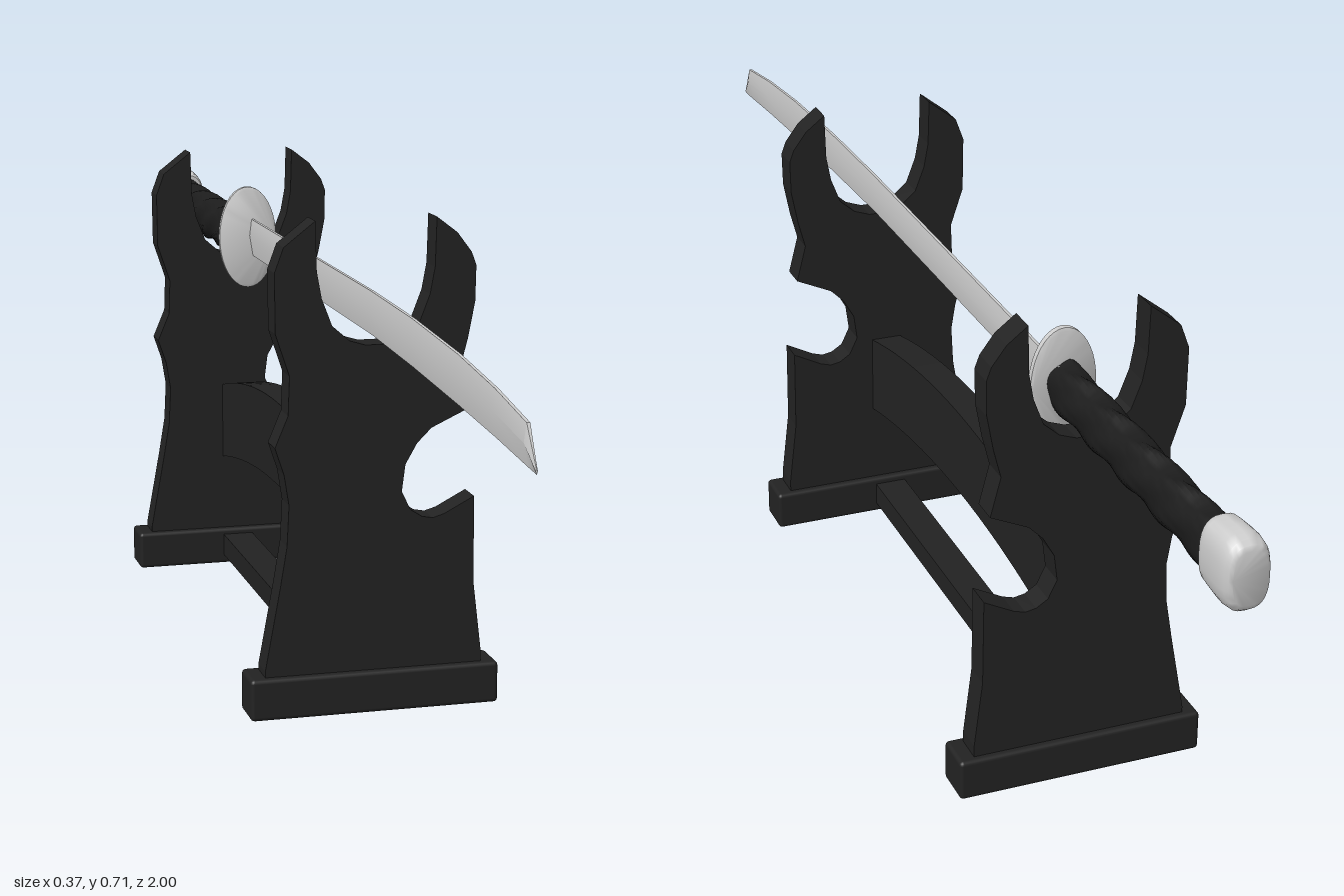
import * as THREE from 'three';
import { toCreasedNormals } from 'three/addons/utils/BufferGeometryUtils.js';
import { RoundedBoxGeometry } from 'three/addons/geometries/RoundedBoxGeometry.js';

// Skin a list of rings (each counter-clockwise seen from +z, ordered along +z) and cap both ends
function loft(rings, crease) {
  const n = rings[0].length, pos = rings.flat(2), idx = [];
  for (let i = 0; i < rings.length - 1; i++) {
    for (let j = 0; j < n; j++) {
      const a = i * n + j, b = i * n + (j + 1) % n;
      idx.push(a, b, b + n, a, b + n, a + n);
    }
  }
  const last = (rings.length - 1) * n;
  for (let j = 1; j < n - 1; j++) idx.push(0, j + 1, j, last, last + j, last + j + 1);
  const g = new THREE.BufferGeometry();
  g.setAttribute('position', new THREE.Float32BufferAttribute(pos, 3));
  g.setIndex(idx);
  g.computeVertexNormals();
  return toCreasedNormals(g, crease);
}

// Ring of points from a radius rule: rule(angle) gives [x, y]
function ring(n, z, rule) {
  return Array.from({ length: n }, (_, j) => [...rule(j / n * Math.PI * 2), z]);
}

export function createModel() {
  const model = new THREE.Group();
  const black = new THREE.MeshStandardMaterial({ color: 0x222222 });
  black.name = 'black wood';
  const wrap = new THREE.MeshStandardMaterial({ color: 0x1c1c1c });
  wrap.name = 'dark wrap';
  const steel = new THREE.MeshStandardMaterial({ color: 0xcccccc });
  steel.name = 'pale steel';

  const add = (name, geometry, material, x = 0, y = 0, z = 0) => {
    const m = new THREE.Mesh(geometry, material);
    m.name = name;
    m.position.set(x, y, z);
    model.add(m);
    return m;
  };

  // Upright outline: horned cradle on top, round bite on the +x side
  const outline = [
    [-.16, .055], [-.16, .07], [-.138, .19], [-.128, .25], [-.125, .31], [-.132, .354], [-.145, .393],
    [-.126, .438], [-.124, .494], [-.144, .554], [-.145, .639], [-.132, .674], [-.087, .709],
    [-.085, .639], [-.078, .601], [-.063, .562], [-.038, .54], [-.015, .533], [.015, .533],
    [.04, .542], [.063, .562], [.078, .601], [.085, .639], [.087, .709], [.117, .686], [.138, .658],
    [.145, .639], [.144, .588], [.134, .536], [.123, .494], [.138, .436], [.082, .41], [.061, .389],
    [.044, .359], [.039, .32], [.052, .293], [.069, .282], [.085, .279], [.102, .284], [.146, .307],
    [.147, .179], [.159, .078], [.159, .055],
  ].map(([x, y]) => new THREE.Vector2(x, y));
  const plate = new THREE.ExtrudeGeometry(new THREE.Shape(outline), { depth: 0.042, bevelEnabled: false });
  plate.translate(0, 0, -0.021);

  for (const [side, z] of [['front', 0.322], ['rear', -0.508]]) {
    add(side + 'Upright', plate, black, 0, 0, z);
    add(side + 'Foot', new RoundedBoxGeometry(0.366, 0.061, 0.064, 2, 0.006), black, 0, 0.0305, z);
  }

  // Arched beam between the uprights, drawn in (z, y) and turned to run along z
  const arch = new THREE.Shape();
  const steps = 20;
  const rise = t => 1 - (2 * t - 1) ** 2;
  for (let i = 0; i <= steps; i++) {
    const t = i / steps, z = -0.495 + 0.805 * t;
    if (i) arch.lineTo(z, 0.185 + 0.045 * rise(t));
    else arch.moveTo(z, 0.185);
  }
  for (let i = steps; i >= 0; i--) {
    const t = i / steps;
    arch.lineTo(-0.495 + 0.805 * t, 0.31 + 0.052 * rise(t));
  }
  const beam = new THREE.ExtrudeGeometry(arch, { depth: 0.048, bevelEnabled: false });
  beam.rotateY(-Math.PI / 2);
  add('archedBeam', beam, black, 0.013, 0, 0);

  // Low rail joining the feet
  add('lowRail', new THREE.BoxGeometry(0.05, 0.036, 0.8), black, -0.012, 0.033, -0.093);

  // Blade: thin spindle section, curving down to a slanted tip [z, lower edge, spine]
  const blade = [
    [-.45, .54, .601], [0, .539, .601], [.3, .538, .601], [.5, .531, .597], [.7, .521, .587],
    [.85, .512, .573], [.968, .503, .556], [1, .501, .508],
  ].map(([z, lo, hi], i, all) => {
    const w = i === all.length - 1 ? 0.0015 : 0.0055, mid = lo + (hi - lo) * 0.55;
    return [[0, lo], [w, mid], [w * 0.4, hi], [-w * 0.4, hi], [-w, mid]].map(([x, y]) => [x + 0.007, y, z]);
  });
  add('blade', loft(blade, 0.35), steel);

  // Oval guard with softened rim
  const guard = [[-.4465, .94], [-.4445, 1], [-.4355, 1], [-.4335, .94]].map(([z, s]) =>
    ring(40, z, a => [-0.001 + 0.048 * s * Math.cos(a), 0.571 + 0.084 * s * Math.sin(a)]));
  add('guard', loft(guard, 0.7), steel);

  // Grip: oval with shallow twisting ridges for the wrap
  const grip = [];
  for (let i = 0; i <= 64; i++) {
    const z = -0.93 + 0.485 * i / 64;
    grip.push(ring(32, z, a => {
      const r = 1 + 0.08 * Math.cos(4 * a + z * 60);
      return [-0.003 + 0.026 * r * Math.cos(a), 0.569 + 0.038 * r * Math.sin(a)];
    }));
  }
  add('grip', loft(grip, 0.8), wrap);

  // Pommel cap with rounded end
  const pommel = [
    [-1, .72], [-.997, .85], [-.99, .95], [-.975, 1], [-.955, .99], [-.93, .95], [-.922, .93], [-.918, .86],
  ].map(([z, s]) => ring(28, z, a => {
    const c = Math.cos(a), d = Math.sin(a), soft = v => Math.sign(v) * Math.abs(v) ** 0.75;
    return [-0.002 + 0.032 * s * soft(c), 0.571 + 0.051 * s * soft(d)];
  }));
  add('pommel', loft(pommel, 0.8), steel);

  return model;
}
